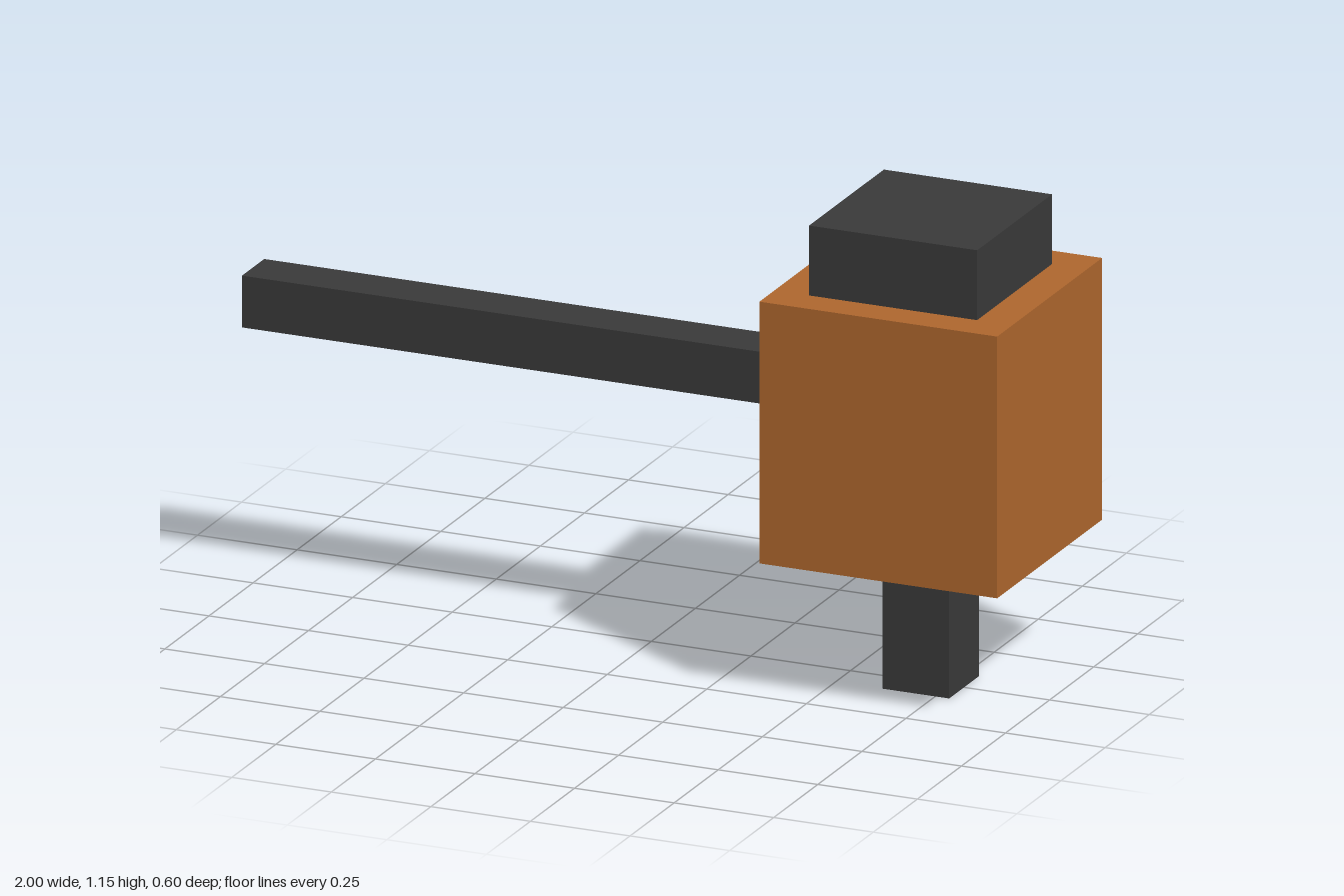
import * as THREE from 'three';

export function createModel() {
  const group = new THREE.Group();
  const orange = new THREE.MeshStandardMaterial({ color: 0xb0682e });
  orange.name = 'burnt orange';
  const charcoal = new THREE.MeshStandardMaterial({ color: 0x3a3a3a });
  charcoal.name = 'charcoal';

  // Box spanning x0..x1 and y0..y1, centred on z = 0
  function addBox(name, material, x0, x1, y0, y1, depth) {
    const mesh = new THREE.Mesh(new THREE.BoxGeometry(x1 - x0, y1 - y0, depth), material);
    mesh.name = name;
    mesh.position.set((x0 + x1) / 2, (y0 + y1) / 2, 0);
    group.add(mesh);
  }

  addBox('body', orange, 0.403, 1, 0.343, 0.98, 0.595);
  addBox('topCap', charcoal, 0.49, 0.912, 0.98, 1.15, 0.424);
  addBox('bottomPeg', charcoal, 0.617, 0.785, 0, 0.343, 0.168);
  addBox('sideArm', charcoal, -1, 0.403, 0.642, 0.768, 0.126);

  return group;
}
